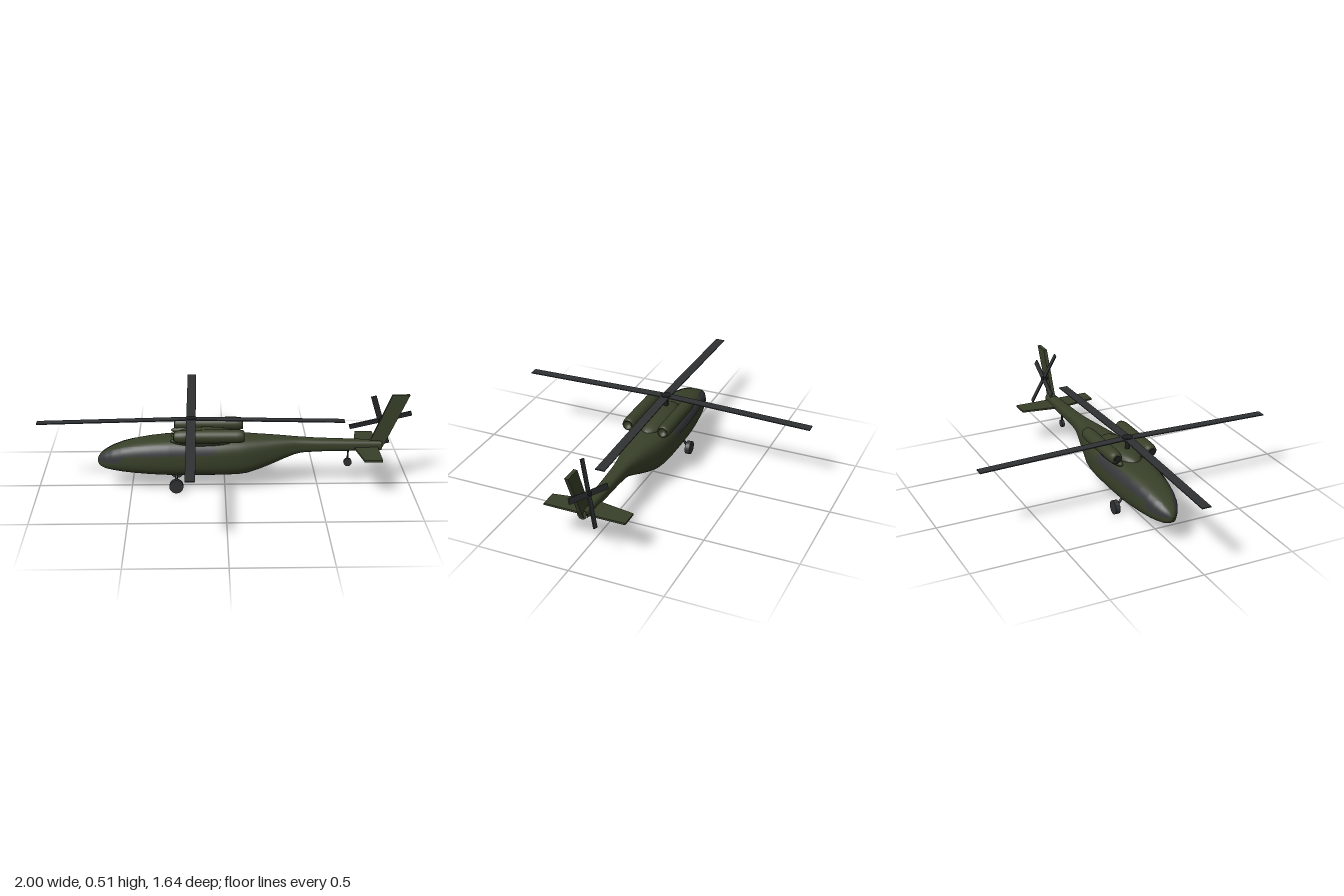
import * as THREE from 'three';
import { mergeVertices } from 'three/addons/utils/BufferGeometryUtils.js';

const mat = (name, color, side = THREE.FrontSide) => {
  const m = new THREE.MeshStandardMaterial({ color, side });
  m.name = name;
  return m;
};

// Hull stations: x, bottom, top, half width (nose at -x)
const HULL = [
  [-0.683, 0.148, 0.152, 0.001], [-0.678, 0.13, 0.168, 0.014], [-0.665, 0.117, 0.184, 0.03],
  [-0.64, 0.107, 0.203, 0.048], [-0.6, 0.1, 0.224, 0.067], [-0.55, 0.093, 0.243, 0.081],
  [-0.48, 0.086, 0.261, 0.094], [-0.4, 0.08, 0.274, 0.105], [-0.3, 0.076, 0.284, 0.114],
  [-0.18, 0.075, 0.287, 0.118], [-0.02, 0.075, 0.287, 0.117], [0.07, 0.077, 0.286, 0.11],
  [0.12, 0.083, 0.285, 0.103], [0.18, 0.101, 0.282, 0.088], [0.25, 0.128, 0.279, 0.072],
  [0.32, 0.158, 0.275, 0.056], [0.37, 0.178, 0.271, 0.046], [0.41, 0.188, 0.268, 0.041],
  [0.5, 0.193, 0.262, 0.037], [0.84, 0.196, 0.25, 0.027],
];
// Window band: x, lower edge, upper edge
const WINDOW = [
  [-0.677, 0.15, 0.165], [-0.66, 0.152, 0.186], [-0.62, 0.153, 0.211], [-0.57, 0.156, 0.226],
  [-0.54, 0.195, 0.236], [-0.5, 0.2, 0.243], [-0.35, 0.207, 0.258], [-0.07, 0.214, 0.258],
  [-0.05, 0.222, 0.25],
];
const POWER = 2.8;

// Linear lookup in a table keyed by x
function lookup(table, x) {
  let i = 0;
  while (i < table.length - 2 && table[i + 1][0] < x) i++;
  const [a, b] = [table[i], table[i + 1]];
  const t = (x - a[0]) / (b[0] - a[0]);
  return a.map((v, k) => v + (b[k] - v) * t);
}

// Surface from a point rule on an nu by nv grid
function gridSurface(point, nu, nv) {
  const pos = [], index = [];
  for (let i = 0; i <= nu; i++) for (let j = 0; j <= nv; j++) pos.push(...point(i, j));
  for (let i = 0; i < nu; i++) for (let j = 0; j < nv; j++) {
    const a = i * (nv + 1) + j, b = a + nv + 1;
    index.push(a, b, b + 1, a, b + 1, a + 1);
  }
  let g = new THREE.BufferGeometry();
  g.setAttribute('position', new THREE.Float32BufferAttribute(pos, 3));
  g.setIndex(index);
  g = mergeVertices(g, 1e-5);
  g.computeVertexNormals();
  return g;
}

function hullGeometry() {
  const N = 64, bend = (v) => Math.sign(v) * Math.abs(v) ** (2 / POWER);
  return gridSurface((i, j) => {
    const [x, lo, hi, w] = HULL[i];
    const t = ((j % N) / N) * Math.PI * 2;
    return [x, (lo + hi) / 2 + bend(Math.sin(t)) * (hi - lo) / 2, bend(Math.cos(t)) * w];
  }, HULL.length - 1, N);
}

// Thin skin lying just outside the hull
function windowGeometry(side) {
  const nu = 90, nv = 8;
  return gridSurface((i, j) => {
    const x = -0.677 + (i / nu) * 0.627;
    const [, lo, hi, w] = lookup(HULL, x);
    const [, y0, y1] = lookup(WINDOW, x);
    const mid = (lo + hi) / 2, h = (hi - lo) / 2;
    const v = THREE.MathUtils.clamp((y0 + (y1 - y0) * (j / nv) - mid) / h, -0.97, 0.97);
    const z = (1 - Math.abs(v) ** POWER) ** (1 / POWER);
    return [x, mid + v * (h + 0.003), side * z * (w + 0.003)];
  }, nu, nv);
}

// Flat plate from an outline, centred on its thickness
function plate(points, depth) {
  const shape = new THREE.Shape(points.map(([a, b]) => new THREE.Vector2(a, b)));
  return new THREE.ExtrudeGeometry(shape, { depth, bevelEnabled: false }).translate(0, 0, -depth / 2);
}

export function createModel() {
  const green = mat('olive paint', 0x384029);
  const glass = mat('dark glass', 0x37383a, THREE.DoubleSide);
  const blade = mat('blade grey', 0x2f3133);
  const black = mat('dark metal', 0x1e1f20);
  const root = new THREE.Group();
  root.name = 'helicopter';

  const add = (name, geo, material, pos = [0, 0, 0], parent = root) => {
    const m = new THREE.Mesh(geo, material);
    m.name = name;
    m.position.set(...pos);
    parent.add(m);
    return m;
  };
  const rod = (name, from, to, r, material) => {
    const a = new THREE.Vector3(...from), b = new THREE.Vector3(...to);
    const d = b.clone().sub(a);
    const m = add(name, new THREE.CylinderGeometry(r, r, d.length(), 12), material);
    m.position.copy(a).add(b).multiplyScalar(0.5);
    m.quaternion.setFromUnitVectors(new THREE.Vector3(0, 1, 0), d.normalize());
    return m;
  };

  // Body and tail boom
  add('fuselage', hullGeometry(), green);
  const cap = new THREE.SphereGeometry(1, 20, 12).scale(0.006, 0.026, 0.026);
  add('boomEnd', cap, green, [0.84, 0.223, 0]);

  // Roof fairing below the mast
  const fairing = new THREE.SphereGeometry(1, 28, 16).scale(0.19, 0.045, 0.08);
  add('roofFairing', fairing, green, [-0.1, 0.28, 0]);

  // Paired parts
  const nacelle = [[0, -0.27], [0.022, -0.27], [0.03, -0.26], [0.035, -0.235], [0.036, -0.2],
    [0.036, 0.06], [0.034, 0.085], [0.03, 0.1], [0.023, 0.1], [0.02, 0.08], [0, 0.08]];
  for (const side of [1, -1]) {
    const label = side > 0 ? 'left' : 'right';
    add(label + 'Window', windowGeometry(side), glass);

    const engine = new THREE.LatheGeometry(nacelle.map(([r, y]) => new THREE.Vector2(r, y)), 28);
    add(label + 'Engine', engine.rotateZ(-Math.PI / 2), green, [0, 0.315, side * 0.1]);
    const intake = new THREE.CylinderGeometry(0.02, 0.02, 0.004, 20).rotateZ(Math.PI / 2);
    add(label + 'Intake', intake, black, [-0.271, 0.315, side * 0.1]);
    const pylon = new THREE.SphereGeometry(1, 20, 12).scale(0.17, 0.03, 0.03);
    add(label + 'EnginePylon', pylon, green, [-0.12, 0.285, side * 0.083]);

    const wheel = new THREE.CylinderGeometry(0.037, 0.037, 0.026, 24).rotateX(Math.PI / 2);
    add(label + 'Wheel', wheel, blade, [-0.26, 0.037, side * 0.108]);
    rod(label + 'Strut', [-0.26, 0.04, side * 0.1], [-0.26, 0.1, side * 0.055], 0.007, black);

    // Tapered horizontal tail
    const stab = plate([[0.69, 0], [0.82, 0], [0.82, 0.22], [0.725, 0.22]], 0.01).rotateX(Math.PI / 2);
    const m = add(label + 'Stabilizer', stab, green, [0, 0.215, 0]);
    if (side < 0) m.rotation.x = Math.PI, m.position.y = 0.215;
  }

  // Tail wheel
  const tailWheel = new THREE.CylinderGeometry(0.022, 0.022, 0.016, 20).rotateX(Math.PI / 2);
  add('tailWheel', tailWheel, blade, [0.663, 0.125, 0]);
  rod('tailStrut', [0.663, 0.125, 0], [0.663, 0.21, 0], 0.005, black);

  // Swept fin
  add('fin', plate([[0.72, 0.205], [0.84, 0.2], [0.865, 0.25], [0.982, 0.505],
    [0.89, 0.505], [0.785, 0.26]], 0.02), green);

  // Main rotor with drooping blades
  rod('mast', [-0.18, 0.28, 0], [-0.18, 0.375, 0], 0.012, black);
  add('rotorHub', new THREE.CylinderGeometry(0.03, 0.022, 0.018, 20), black, [-0.18, 0.376, 0]);
  for (let k = 0; k < 4; k++) {
    const arm = new THREE.Group();
    arm.name = 'mainBlade' + (k + 1);
    arm.position.set(-0.18, 0.379, 0);
    arm.rotation.y = k * Math.PI / 2;
    root.add(arm);
    const b = add('blade', new THREE.BoxGeometry(0.81, 0.005, 0.05).translate(0.415, 0, 0), blade, [0, 0, 0], arm);
    b.rotation.z = -0.022;
  }

  // Canted tail rotor on the right of the fin
  const tail = new THREE.Group();
  tail.name = 'tailRotor';
  tail.position.set(0.836, 0.351, -0.038);
  const u = new THREE.Vector3(0.162, 0.045, 0.02).normalize();
  const down = new THREE.Vector3(0.05, -0.15, -0.055);
  const n = u.clone().cross(down.negate()).normalize();
  tail.quaternion.setFromRotationMatrix(new THREE.Matrix4().makeBasis(u, n.clone().cross(u), n));
  root.add(tail);
  for (let k = 0; k < 2; k++) {
    const b = add('tailBladePair', new THREE.BoxGeometry(0.34, 0.03, 0.006), blade, [0, 0, 0], tail);
    b.rotation.z = k * Math.PI / 2;
  }
  add('tailHub', new THREE.CylinderGeometry(0.014, 0.014, 0.018, 16).rotateX(Math.PI / 2), black, [0, 0, 0], tail);
  rod('tailShaft', [0.836, 0.351, -0.038], [0.845, 0.345, 0], 0.008, black);

  return root;
}
